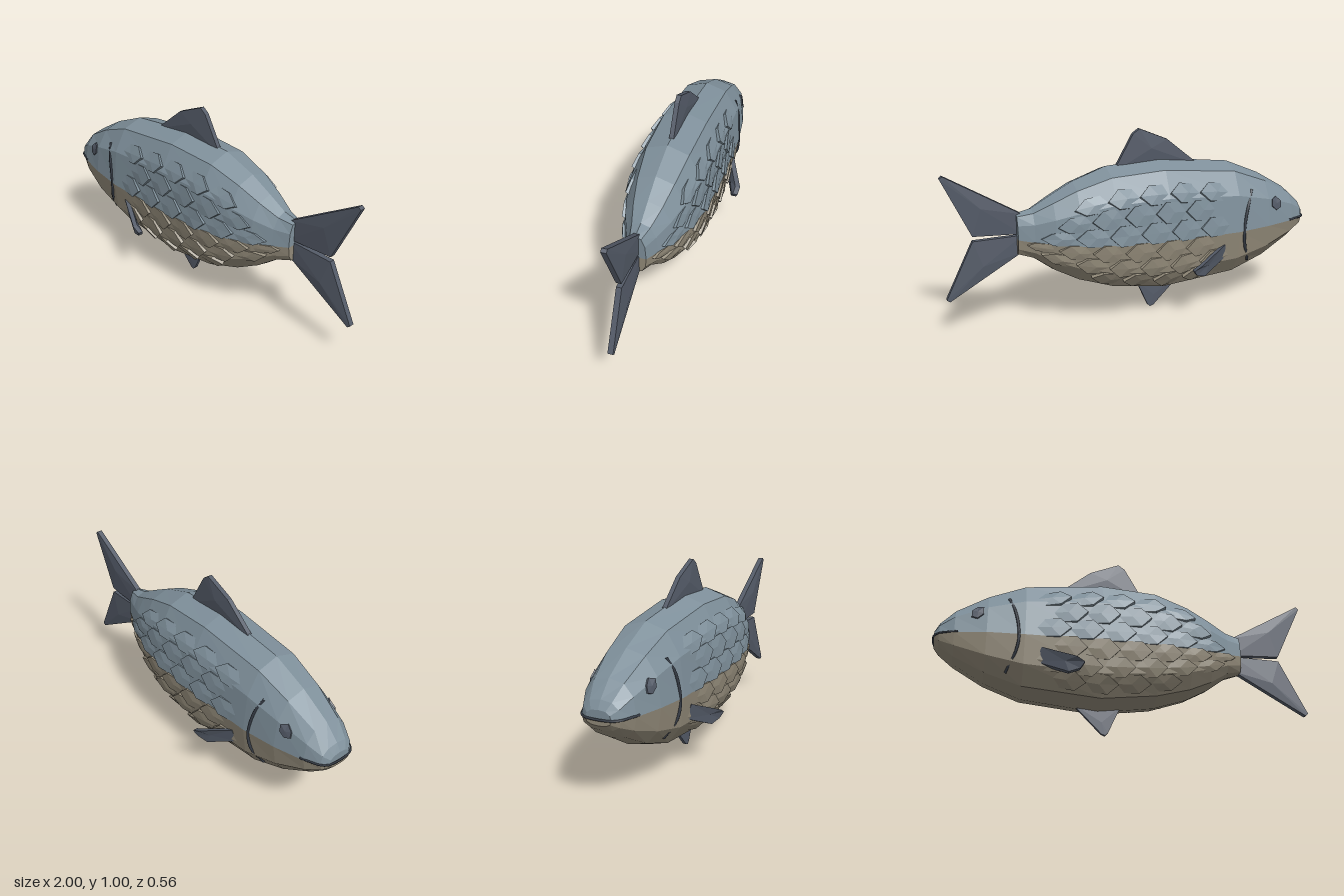
import * as THREE from 'three';

const paint = (name, color) => Object.assign(new THREE.MeshStandardMaterial({ color }), { name });

// Body stations: x, top y, middle y (colour line), bottom y, half width
const STATIONS = [
  [-0.99, 0.50, 0.455, 0.425, 0.065], [-0.965, 0.54, 0.455, 0.395, 0.1],
  [-0.89, 0.615, 0.453, 0.335, 0.135], [-0.73, 0.71, 0.448, 0.24, 0.175],
  [-0.54, 0.79, 0.44, 0.167, 0.2], [-0.14, 0.835, 0.437, 0.125, 0.212],
  [0.15, 0.815, 0.44, 0.165, 0.203], [0.33, 0.75, 0.448, 0.225, 0.17],
  [0.45, 0.685, 0.457, 0.29, 0.132], [0.55, 0.628, 0.468, 0.365, 0.085],
  [0.63, 0.61, 0.48, 0.39, 0.052],
];
// Half cross-section, top to bottom: width fraction, height fraction
const SECTION = [[0, 1], [0.56, 0.9], [0.9, 0.56], [1, 0], [0.9, -0.56], [0.56, -0.9], [0, -1]];
const RING = [...SECTION, ...SECTION.slice(1, -1).reverse().map(([w, v]) => [-w, v])];

const heightAt = ([, top, mid, bottom], v) => mid + v * (v > 0 ? top - mid : mid - bottom);

// Point on the +z flank at x and height fraction v, pushed outward by lift
function flank(x, v, lift = 0) {
  let i = 0;
  while (i < STATIONS.length - 2 && STATIONS[i + 1][0] < x) i++;
  const a = STATIONS[i], b = STATIONS[i + 1], t = (x - a[0]) / (b[0] - a[0]);
  const s = a.map((n, k) => n + (b[k] - n) * t);
  let j = 0;
  while (j < SECTION.length - 2 && SECTION[j + 1][1] > v) j++;
  const [w0, v0] = SECTION[j], [w1, v1] = SECTION[j + 1];
  const w = w0 + (w1 - w0) * (v - v0) / (v1 - v0);
  return [x, heightAt(s, v) + lift * v, s[4] * w + lift];
}

// Faceted mesh; side -1 mirrors it across z
function faceted(name, pts, tris, material, side = 1) {
  const g = new THREE.BufferGeometry();
  g.setAttribute('position', new THREE.Float32BufferAttribute(pts.flatMap(([x, y, z]) => [x, y, z * side]), 3));
  g.setIndex(tris.flatMap(([a, b, c]) => (side > 0 ? [a, b, c] : [a, c, b])));
  const flat = g.toNonIndexed();
  flat.computeVertexNormals();
  const mesh = new THREE.Mesh(flat, material);
  mesh.name = name;
  return mesh;
}

// Part of the body skin covering the given ring segments, with both end caps
function bodyShell(name, segments, material) {
  const n = RING.length, pts = [], tris = [], last = STATIONS.length - 1;
  for (const s of STATIONS) for (const [w, v] of RING) pts.push([s[0], heightAt(s, v), s[4] * w]);
  for (const end of [0, last]) pts.push([STATIONS[end][0], STATIONS[end][2], 0]);
  for (const j of segments) {
    const k = (j + 1) % n;
    for (let i = 0; i < last; i++) {
      const a = i * n + j, d = i * n + k;
      tris.push([a, d, d + n], [a, d + n, a + n]);
    }
    tris.push([pts.length - 2, k, j], [pts.length - 1, last * n + j, last * n + k]);
  }
  return faceted(name, pts, tris, material);
}

// Raised plate following the flank; outline of [x, v, lift], counter-clockwise
function flankPlate(name, outline, centre, material, side) {
  const n = outline.length, tris = [];
  const pts = [...outline.map(p => flank(...p)), flank(...centre),
    ...outline.map(([x, v]) => flank(x, v, -0.012))];
  for (let i = 0; i < n; i++) {
    const j = (i + 1) % n;
    tris.push([n, i, j], [i, n + 1 + i, n + 1 + j], [i, n + 1 + j, j]);
  }
  return faceted(name, pts, tris, material, side);
}

// Fin with a thin rim and thicker middle; outline of [x, y, z], counter-clockwise
function fin(name, outline, rim, middle, material, side = 1) {
  const n = outline.length, tris = [];
  const at = dz => outline.map(([x, y, z = 0]) => [x, y, z + dz]);
  const c = [0, 1, 2].map(k => outline.reduce((sum, p) => sum + (p[k] ?? 0), 0) / n);
  const pts = [...at(rim), ...at(-rim), [c[0], c[1], c[2] + middle], [c[0], c[1], c[2] - middle]];
  for (let i = 0; i < n; i++) {
    const j = (i + 1) % n;
    tris.push([2 * n, i, j], [2 * n + 1, n + j, n + i], [i, n + i, n + j], [i, n + j, j]);
  }
  return faceted(name, pts, tris, material, side);
}

function line(name, points, radius, material) {
  const curve = new THREE.CatmullRomCurve3(points.map(p => new THREE.Vector3(...p)));
  const mesh = new THREE.Mesh(new THREE.TubeGeometry(curve, 24, radius, 5), material);
  mesh.name = name;
  return mesh;
}

export function createModel() {
  const back = paint('blue grey back', 0x7f909b);
  const belly = paint('sandy belly', 0x928a79);
  const slate = paint('slate fins', 0x545b68);
  const dark = paint('dark lines', 0x363c46);
  const fish = new THREE.Group();
  fish.name = 'fish';

  // Body, split along the colour line
  fish.add(bodyShell('upperBody', [0, 1, 2, 9, 10, 11], back));
  fish.add(bodyShell('lowerBody', [3, 4, 5, 6, 7, 8], belly));

  // Fins on the centre line
  fish.add(fin('dorsalFin', [[-0.38, 0.78], [0.11, 0.78], [0, 0.975], [-0.035, 1], [-0.19, 0.935]], 0.012, 0.021, slate));
  fish.add(fin('ventralFin', [[-0.27, 0.16], [-0.12, 0.008], [-0.1, 0], [-0.085, 0.015], [-0.02, 0.16]], 0.009, 0.011, slate));
  fish.add(fin('upperTailFin', [[0.6, 0.5], [0.855, 0.512], [1, 0.82], [0.985, 0.832], [0.6, 0.605]], 0.014, 0.022, slate));
  fish.add(fin('lowerTailFin', [[0.6, 0.405], [0.985, 0.178], [1, 0.19], [0.855, 0.486], [0.6, 0.493]], 0.014, 0.022, slate));

  // Rows of scales: height fraction, half height, first x, count
  const rows = [
    [0.62, 0.12, -0.41, 5], [0.38, 0.14, -0.325, 5], [0.13, 0.14, -0.41, 6],
    [-0.16, 0.17, -0.325, 6], [-0.45, 0.17, -0.41, 6], [-0.71, 0.13, -0.325, 4],
  ];
  for (const side of [1, -1]) {
    const scales = new THREE.Group();
    scales.name = side > 0 ? 'leftScales' : 'rightScales';
    for (const [v, h, start, count] of rows) {
      for (let k = 0; k < count; k++) {
        const x = start + k * 0.167, tip = Math.min(x + 0.1, 0.59);
        const hex = [[x - 0.1, v, -0.004], [x - 0.045, v - h, -0.002], [x + 0.045, v - h, 0.012],
          [tip, v, 0.016], [x + 0.045, v + h, 0.012], [x - 0.045, v + h, -0.002]];
        scales.add(flankPlate('scale', hex, [x, v, 0.009], v > 0 ? back : belly, side));
      }
    }
    fish.add(scales);

    // Eye
    const eye = [];
    for (let i = 0; i < 6; i++) {
      const a = Math.PI / 6 + i * Math.PI / 3;
      eye.push([-0.78 + 0.034 * Math.cos(a), 0.49 + 0.155 * Math.sin(a), 0.007]);
    }
    fish.add(flankPlate('eye', eye, [-0.78, 0.49, 0.009], slate, side));

    // Gill line
    const gill = [[-0.625, 0.68], [-0.595, 0.42], [-0.575, 0.15], [-0.57, -0.1], [-0.585, -0.4], [-0.625, -0.78]];
    fish.add(line('gill', gill.map(([x, v]) => {
      const [px, py, pz] = flank(x, v, 0.001);
      return [px, py, pz * side];
    }), 0.008, dark));

    // Pectoral fin
    fish.add(fin('pectoralFin', [[-0.475, 0.305, 0.16], [-0.32, 0.235, 0.232], [-0.265, 0.25, 0.25],
      [-0.245, 0.28, 0.265], [-0.285, 0.305, 0.268], [-0.455, 0.378, 0.185]], 0.014, 0.016, slate, side));
  }

  // Mouth line wrapping the snout
  const lip = [-0.87, -0.92, -0.965, -0.989].map(x => flank(x, 0.03));
  fish.add(line('mouth', [...lip, ...lip.map(([x, y, z]) => [x, y, -z]).reverse()], 0.006, dark));
  return fish;
}
